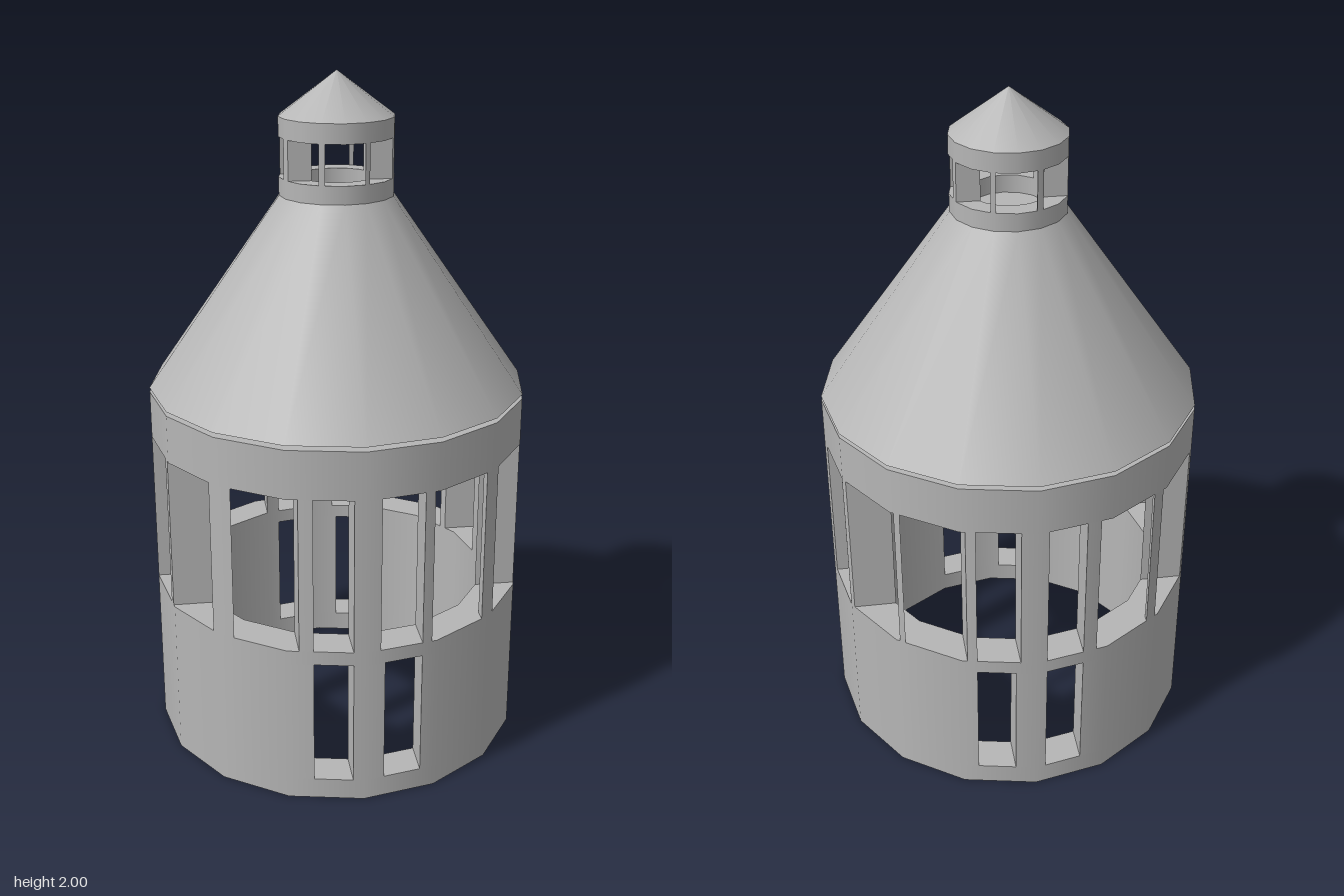
import * as THREE from 'three';

const SIDES = 16;
const vert = (R, k) => [R * Math.sin(k * 2 * Math.PI / SIDES), R * Math.cos(k * 2 * Math.PI / SIDES)];

// z of the front half of a 16-sided plan at a given x
function zAt(R, x) {
  for (let k = -4; k < 4; k++) {
    const p = vert(R, k), q = vert(R, k + 1);
    if (x >= p[0] && x <= q[0]) return p[1] + (q[1] - p[1]) * (x - p[0]) / (q[0] - p[0]);
  }
  return 0;
}

// front outline of the plan from x = a to x = b
function edge(R, a, b) {
  const pts = [[a, zAt(R, a)]];
  for (let k = -4; k <= 4; k++) {
    const p = vert(R, k);
    if (p[0] > a + 1e-4 && p[0] < b - 1e-4) pts.push(p);
  }
  return [...pts, [b, zAt(R, b)]];
}

export function createModel() {
  const model = new THREE.Group();
  const grey = new THREE.MeshStandardMaterial({ color: 0xb6b6b6 });
  grey.name = 'stone grey';

  const add = (parent, name, geo) => {
    const mesh = new THREE.Mesh(geo, grey);
    mesh.name = name;
    parent.add(mesh);
    return mesh;
  };

  // Raise an (x, z) plan from y0 to y1, with curved walls shaded smoothly
  function raise(parent, name, plan, y0, y1, hole) {
    const toV = ([x, z]) => new THREE.Vector2(x, -z);
    const shape = new THREE.Shape(plan.map(toV));
    if (hole) shape.holes.push(new THREE.Path(hole.map(toV)));
    const geo = new THREE.ExtrudeGeometry(shape, { depth: y1 - y0, bevelEnabled: false });
    geo.rotateX(-Math.PI / 2).translate(0, y0, 0);
    const P = geo.attributes.position, N = geo.attributes.normal;
    for (let i = 0; i < P.count; i++) {
      const r = Math.hypot(P.getX(i), P.getZ(i));
      const x = P.getX(i) / r, z = P.getZ(i) / r;
      const d = N.getX(i) * x + N.getZ(i) * z;
      if (Math.abs(d) > 0.95) N.setXYZ(i, Math.sign(d) * x, 0, Math.sign(d) * z);
    }
    return add(parent, name, geo);
  }

  const circle = R => Array.from({ length: SIDES }, (_, k) => vert(R, k));
  const ring = (parent, name, R, r, y0, y1) => raise(parent, name, circle(R), y0, y1, circle(r));

  // Post between two straight-through openings, on both opposite walls
  function posts(parent, name, R, r, a, b, y0, y1, alongX) {
    const plan = [...edge(R, a, b), ...edge(r, a, b).reverse()];
    for (const s of [1, -1]) {
      raise(parent, name, plan.map(([u, v]) => alongX ? [s * v, u] : [u, s * v]), y0, y1);
    }
  }

  // Corner post left outside the openings
  function corner(parent, name, R, x0, z0, y0, y1) {
    const ax = Math.abs(x0), az = Math.abs(z0);
    const plan = [[ax, az], ...edge(R, ax, zAt(R, az))];
    raise(parent, name, plan.map(([x, z]) => [x * Math.sign(x0), z * Math.sign(z0)]), y0, y1);
  }

  // Main wall
  const R = 0.556, r = 0.45;
  const wall = new THREE.Group();
  wall.name = 'wall';
  model.add(wall);
  ring(wall, 'wallFoot', R, r, 0, 0.062);
  ring(wall, 'windowSill', R, r, 0.438, 0.48);
  ring(wall, 'wallTop', R, r, 0.94, 1.082);

  // Doorway level: curved walls either side, and a post between each pair
  for (const [s, x0] of [[1, 0.17], [-1, 0.14]]) {
    const arc = q => [[x0, zAt(q, x0)], ...[1, 2, 3, 4, 5, 6, 7].map(k => vert(q, k)), [x0, -zAt(q, x0)]];
    raise(wall, 'sideWall', [...arc(R), ...arc(r).reverse()].map(([x, z]) => [s * x, z]), 0.062, 0.438);
  }
  posts(wall, 'doorPost', R, r, -0.03, 0.06, 0.062, 0.438, false);

  // Window level
  for (const [a, b] of [[-0.18, -0.14], [-0.03, 0.047], [0.17, 0.198]]) {
    posts(wall, 'windowPost', R, r, a, b, 0.48, 0.94, false);
  }
  for (const [a, b] of [[-0.225, -0.207], [-0.033, 0], [0.176, 0.2]]) {
    posts(wall, 'sideWindowPost', R, r, a, b, 0.48, 0.94, true);
  }
  for (const x of [-0.353, 0.367]) {
    for (const z of [-0.4, 0.37]) corner(wall, 'cornerPost', R, x, z, 0.48, 0.94);
  }

  // Roof, floating just above the wall
  add(model, 'roof', new THREE.CylinderGeometry(0.165, R, 0.56, SIDES)).position.y = 1.375;

  // Lantern
  const L = 0.166, l = 0.11;
  const lantern = new THREE.Group();
  lantern.name = 'lantern';
  model.add(lantern);
  ring(lantern, 'lanternBase', L, l, 1.655, 1.707);
  ring(lantern, 'lanternBand', L, l, 1.82, 1.876);
  for (const [a, b] of [[-0.064, -0.039], [0.048, 0.073]]) {
    posts(lantern, 'lanternPost', L, l, a, b, 1.707, 1.82, true);
  }
  for (const x of [-0.054, 0.058]) {
    for (const z of [-0.148, 0.148]) corner(lantern, 'lanternCornerPost', L, x, z, 1.707, 1.82);
  }

  // Cap
  add(model, 'cap', new THREE.ConeGeometry(L, 0.124, SIDES)).position.y = 1.938;
  return model;
}
